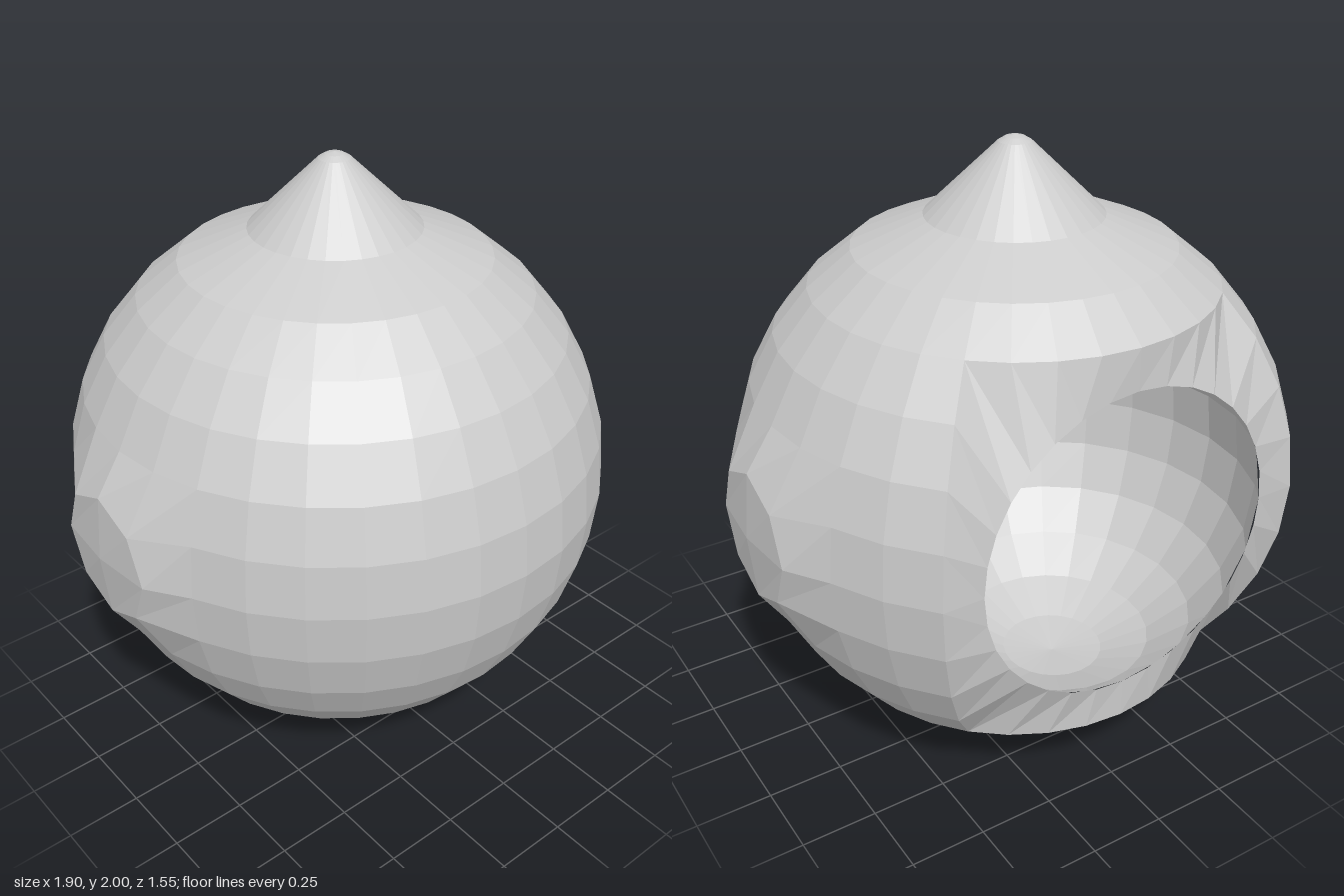
import * as THREE from 'three';

const SEG = 32, RINGS = 16, R = 0.91, CY = 0.91, CZ = -0.135;
const BACK = CZ - R * Math.SQRT1_2 ** 1; // plane of the rear rim
const RIM = 0.51;                        // radius of the rear opening
const BOWL = 0.64;                       // radius of the hollow

const material = (side = THREE.FrontSide) =>
  new THREE.MeshStandardMaterial({ color: 0xcccccc, flatShading: true, side });

// Mesh from a list of Vector3 triples
function meshFrom(name, points, side) {
  const g = new THREE.BufferGeometry().setFromPoints(points);
  g.computeVertexNormals();
  const mesh = new THREE.Mesh(g, material(side));
  mesh.name = name;
  return mesh;
}

const quad = (out, a, b, c, d) => out.push(a, b, c, a, c, d);

// Shell vertex: ring j counts up from the bottom, column k runs from the front towards +x
function shellPoint(j, k) {
  k = (k + SEG) % SEG;
  const t = (j / RINGS) * Math.PI, a = (k / SEG) * Math.PI * 2;
  let r = R * Math.sin(t), y = CY - R * Math.cos(t);
  if (j === 14) { r = 0.28; y = 1.76; }      // foot of the pointed tip
  const p = new THREE.Vector3(r * Math.sin(a), y, CZ + r * Math.cos(a));
  // Raised octagonal boss on each side
  for (const [col, s] of [[8, 1], [24, -1]]) {
    const dj = j - 8, dk = k - col;
    if (Math.abs(dj) > 1 || Math.abs(dk) > 1) continue;
    const n = Math.hypot(dj, dk);
    if (n === 0) p.x = s * 0.95;
    else p.set(s * 0.93, CY + 0.215 * dj / n, CZ - s * 0.215 * dk / n);
  }
  return p;
}

// Faceted shell, open at the back and under the tip
function makeShell() {
  const pts = [];
  for (let j = 0; j < 14; j++) {
    for (let k = 0; k < SEG; k++) {
      if (j >= 4 && j < 12 && k >= 12 && k < 20) continue;
      const a = shellPoint(j, k), b = shellPoint(j, k + 1);
      const c = shellPoint(j + 1, k + 1), d = shellPoint(j + 1, k);
      if (j === 0) pts.push(a, c, d);
      else quad(pts, a, b, c, d);
    }
  }
  return meshFrom('shell', pts);
}

// Faceted band from the square cut in the shell to the round rim
function makeRearSurround() {
  const loop = [];
  for (let i = 0; i < 8; i++) loop.push(shellPoint(4, 12 + i));
  for (let i = 0; i < 8; i++) loop.push(shellPoint(4 + i, 20));
  for (let i = 0; i < 8; i++) loop.push(shellPoint(12, 20 - i));
  for (let i = 0; i < 8; i++) loop.push(shellPoint(12 - i, 12));
  const rim = loop.map((_, i) => {
    const t = Math.PI * 1.25 + (i / 32) * Math.PI * 2;
    return new THREE.Vector3(-RIM * Math.cos(t), CY + RIM * Math.sin(t), BACK);
  });
  const pts = [];
  for (let i = 0; i < 32; i++) {
    const n = (i + 1) % 32;
    quad(pts, loop[i], loop[n], rim[n], rim[i]);
  }
  return meshFrom('rearSurround', pts, THREE.DoubleSide);
}

// Hollow: a sphere seen from inside, trimmed to the round rim
function makeHollow() {
  const zc = BACK + Math.sqrt(BOWL * BOWL - RIM * RIM);
  const g = new THREE.SphereGeometry(BOWL, 24, 12).toNonIndexed();
  g.translate(0, CY, zc);
  const pos = g.attributes.position, pts = [];
  for (let i = 0; i < pos.count; i += 3) {
    const tri = [0, 2, 1].map((o) => new THREE.Vector3().fromBufferAttribute(pos, i + o));
    if (tri.every((p) => p.z < BACK)) continue;
    for (const p of tri) {
      if (p.z >= BACK) continue;
      const s = RIM / Math.max(Math.hypot(p.x, p.y - CY), 1e-4);
      p.set(p.x * s, CY + (p.y - CY) * s, BACK);
    }
    pts.push(...tri);
  }
  return meshFrom('hollow', pts);
}

// Pointed tip with a blunted end
function makeTip() {
  const profile = [[0.28, 1.76], [0.052, 1.98], [0.03, 1.993], [0, 2]]
    .map(([x, y]) => new THREE.Vector2(x, y));
  const tip = new THREE.Mesh(new THREE.LatheGeometry(profile, SEG), material());
  tip.position.z = CZ;
  tip.name = 'tip';
  return tip;
}

export function createModel() {
  const model = new THREE.Group();
  model.name = 'hollowPointedSphere';
  model.add(makeShell(), makeRearSurround(), makeHollow(), makeTip());
  return model;
}
